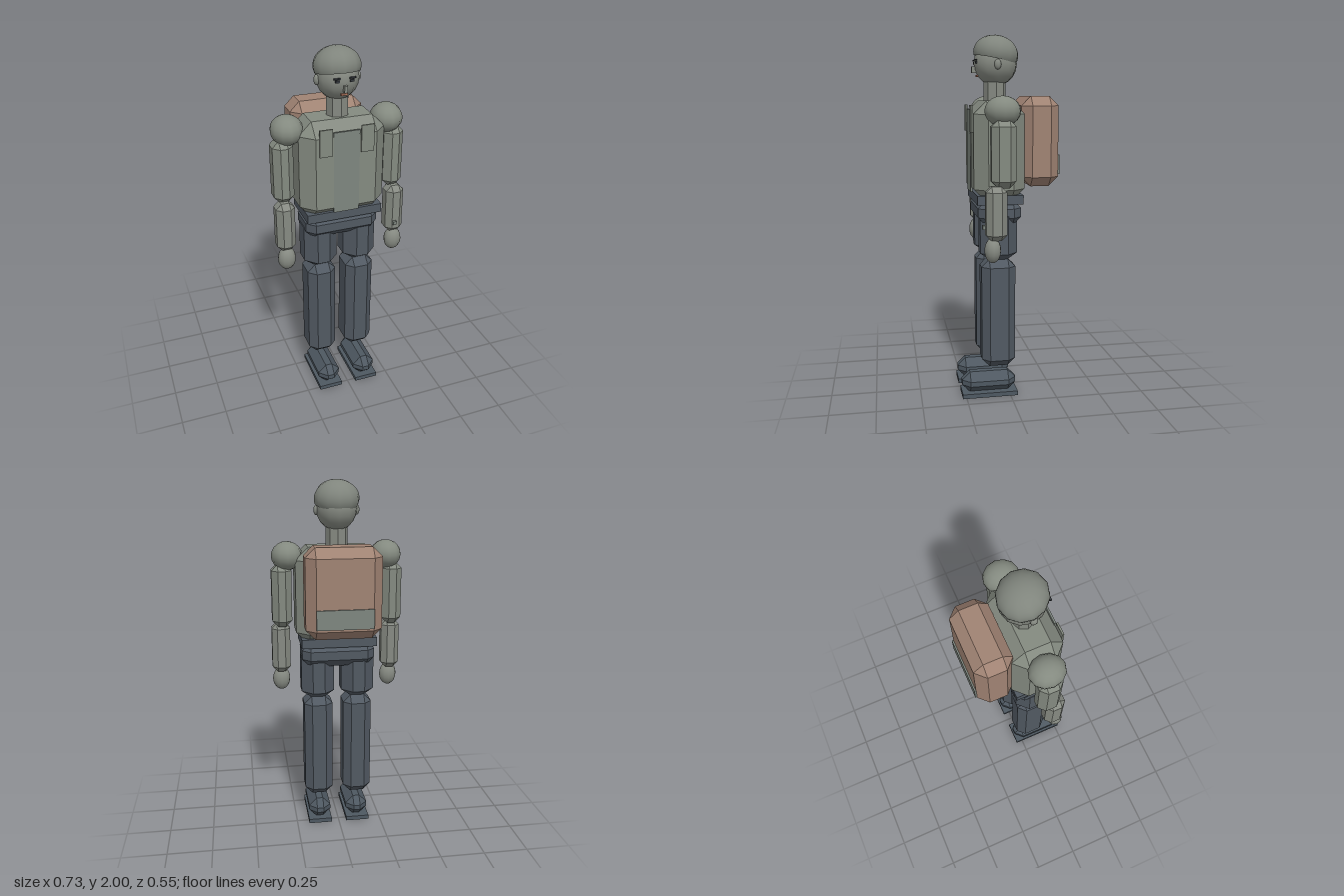
import * as THREE from 'three';
import { ConvexGeometry } from 'three/addons/geometries/ConvexGeometry.js';

const mat = (name, color, side = THREE.FrontSide) => {
  const m = new THREE.MeshStandardMaterial({ color, side });
  m.name = name;
  return m;
};

// Box with flat chamfers on all edges; bx, by, bz are the chamfer sizes per axis
function chamferBox(w, h, d, bx, by = bx, bz = bx) {
  const X = w / 2, Y = h / 2, Z = d / 2, pts = [];
  for (const i of [-1, 1]) for (const j of [-1, 1]) for (const k of [-1, 1]) {
    pts.push(
      new THREE.Vector3(i * X, j * (Y - by), k * (Z - bz)),
      new THREE.Vector3(i * (X - bx), j * Y, k * (Z - bz)),
      new THREE.Vector3(i * (X - bx), j * (Y - by), k * Z));
  }
  return new ConvexGeometry(pts);
}

export function createModel() {
  const group = new THREE.Group();
  group.name = 'hiker';

  const cloth = mat('shirt grey green', 0x848a80);
  const skin = mat('skin grey', 0x868a82);
  const hair = mat('hair grey', 0x80857d, THREE.DoubleSide);
  const trouser = mat('trouser blue grey', 0x515962);
  const shoe = mat('shoe blue grey', 0x4e5861);
  const pack = mat('pack brown', 0xa08373);
  const patch = mat('patch grey', 0x7e867f);
  const lip = mat('lip red brown', 0xb87a60);
  const dark = mat('eye dark', 0x34383d);

  const add = (name, geo, material, x, y, z) => {
    const m = new THREE.Mesh(geo, material);
    m.name = name;
    m.position.set(x, y, z);
    group.add(m);
    return m;
  };
  const box = (name, material, w, h, d, x, y, z) =>
    add(name, new THREE.BoxGeometry(w, h, d), material, x, y, z);
  const ball = (name, material, rx, ry, rz, x, y, z, seg = 12) =>
    add(name, new THREE.SphereGeometry(1, seg, 10).scale(rx, ry, rz), material, x, y, z);

  // Torso, belt and hips
  add('torso', chamferBox(0.47, 0.54, 0.275, 0.07), cloth, 0, 1.38, 0.0625);
  box('frontPanel', patch, 0.14, 0.45, 0.01, 0, 1.38, 0.2);
  box('belt', trouser, 0.42, 0.05, 0.25, 0, 1.125, 0.062);
  add('hips', chamferBox(0.41, 0.14, 0.235, 0.045), trouser, 0, 1.05, 0.06);

  // Neck and head
  const neck = new THREE.CylinderGeometry(0.06, 0.06, 0.16, 8).toNonIndexed();
  neck.computeVertexNormals();
  add('neck', neck, skin, 0, 1.69, 0.06);
  ball('head', skin, 0.112, 0.118, 0.12, 0, 1.848, 0.055);
  const cap = new THREE.SphereGeometry(1, 12, 9, 0, Math.PI * 2, 0, Math.PI * 0.6)
    .scale(0.124, 0.1, 0.125);
  add('hair', cap, hair, 0, 1.9, 0.052).rotation.x = -0.2;
  box('nose', skin, 0.018, 0.035, 0.025, 0, 1.815, 0.175);
  box('mouth', lip, 0.034, 0.009, 0.009, 0, 1.782, 0.158);

  // Backpack with rear patch
  add('backpack', chamferBox(0.406, 0.485, 0.205, 0.052), pack, 0, 1.4325, -0.1625);
  box('packPatch', patch, 0.304, 0.105, 0.012, 0, 1.307, -0.268);

  // Mirrored parts
  for (const s of [-1, 1]) {
    ball('ear', skin, 0.015, 0.027, 0.019, s * 0.111, 1.84, 0.06, 8);
    box('eye', dark, 0.022, 0.012, 0.009, s * 0.038, 1.852, 0.166);
    box('eyebrow', dark, 0.036, 0.007, 0.009, s * 0.041, 1.866, 0.167);
    box('shirtStrap', cloth, 0.07, 0.145, 0.01, s * 0.112, 1.555, 0.205);

    ball('shoulder', cloth, 0.086, 0.078, 0.096, s * 0.275, 1.598, 0.062);
    add('upperArm', chamferBox(0.11, 0.35, 0.13, 0.035), cloth, s * 0.308, 1.38, 0.065);
    add('forearm', chamferBox(0.103, 0.285, 0.11, 0.03), skin, s * 0.315, 1.073, 0.105);
    ball('hand', skin, 0.05, 0.067, 0.044, s * 0.315, 0.878, 0.123);

    add('thigh', chamferBox(0.188, 0.29, 0.205, 0.06, 0.04, 0.06), trouser, s * 0.114, 0.93, 0.0625);
    add('shin', chamferBox(0.163, 0.615, 0.188, 0.042), trouser, s * 0.113, 0.483, 0.065);
    add('shoe', chamferBox(0.128, 0.118, 0.305, 0.045), shoe, s * 0.111, 0.079, 0.118);
    box('sole', shoe, 0.136, 0.025, 0.312, s * 0.112, 0.0125, 0.116);
  }

  // Small wrist device on the left forearm
  box('wristDevice', patch, 0.021, 0.021, 0.02, 0.305, 1.0, 0.165);

  return group;
}
